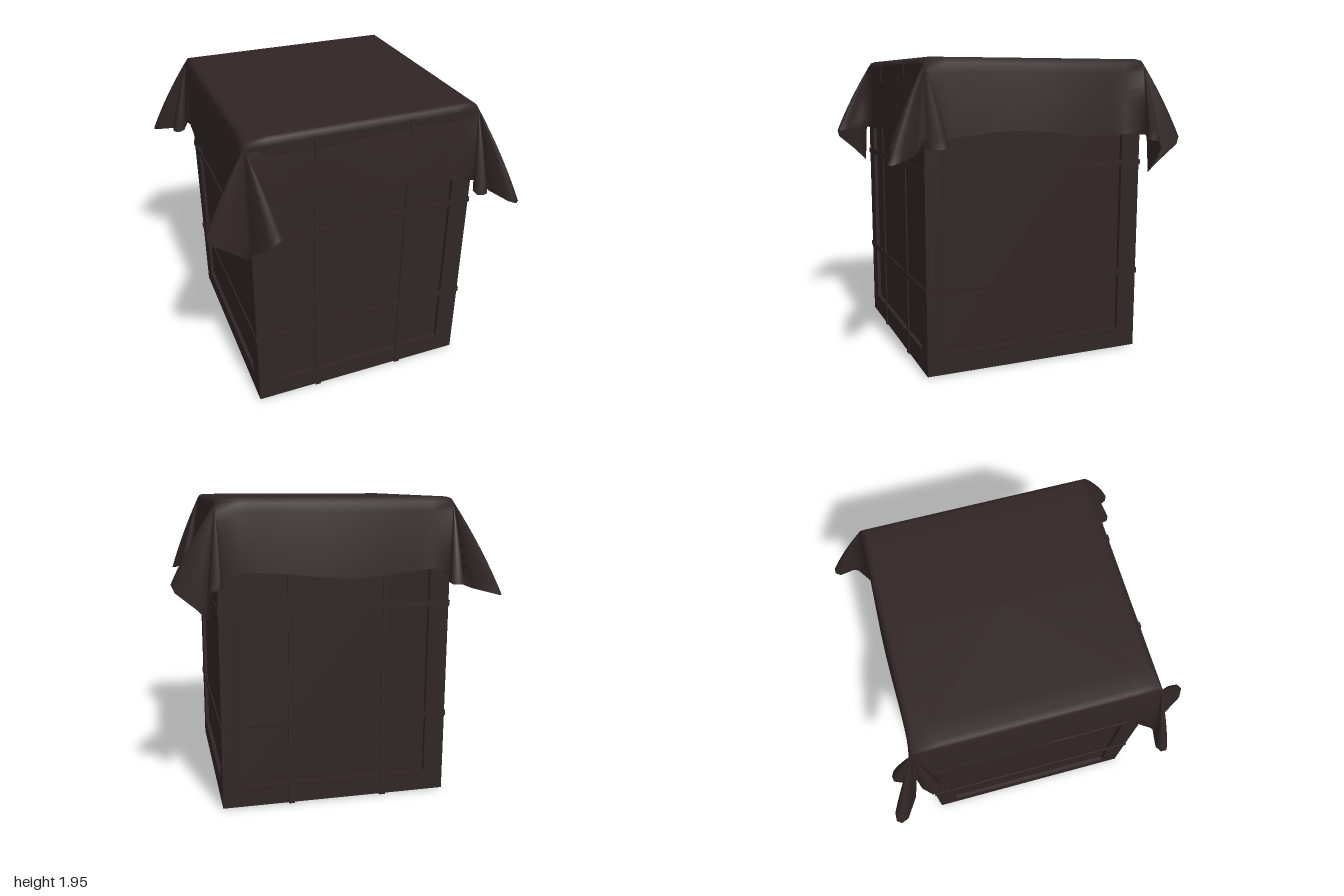
import * as THREE from 'three';
import { mergeVertices } from 'three/addons/utils/BufferGeometryUtils.js';

const { lerp, clamp } = THREE.MathUtils;
const wood = new THREE.MeshStandardMaterial({ color: 0x302525 });
wood.name = 'dark wood';
const cloth = new THREE.MeshStandardMaterial({ color: 0x302525, side: THREE.DoubleSide });
cloth.name = 'dark cloth';

const HALF = 0.737, BASE = 0.006, HEIGHT = 1.9, RECESS = 0.025;
const MID = BASE + HEIGHT / 2;

// Rectangular ring, extruded and centred on the origin
function ring(w, h, holeW, holeH, depth) {
  const rect = (path, a, b) => path.moveTo(-a / 2, -b / 2).lineTo(a / 2, -b / 2)
    .lineTo(a / 2, b / 2).lineTo(-a / 2, b / 2).closePath();
  const shape = rect(new THREE.Shape(), w, h);
  shape.holes.push(rect(new THREE.Path(), holeW, holeH));
  return new THREE.ExtrudeGeometry(shape, { depth, bevelEnabled: false }).translate(0, 0, -depth / 2);
}

function add(group, name, geometry, material) {
  const mesh = new THREE.Mesh(geometry, material);
  mesh.name = name;
  group.add(mesh);
  return mesh;
}

// Crate with a recessed panel on each face
function makeCrate() {
  const g = new THREE.Group();
  g.name = 'crate';
  const inner = 2 * (HALF - RECESS);
  add(g, 'panels', new THREE.BoxGeometry(inner, HEIGHT - 2 * RECESS, inner), wood).position.y = MID;
  const sideFrame = ring(2 * HALF, HEIGHT, 1.21, HEIGHT - 0.27, RECESS);
  sideFrame.translate(0, 0, HALF - RECESS / 2);
  for (let i = 0; i < 4; i++) {
    const frame = add(g, 'sideFrame', sideFrame, wood);
    frame.position.y = MID;
    frame.rotation.y = i * Math.PI / 2;
  }
  const endFrame = ring(2 * HALF, 2 * HALF, 1.21, 1.21, RECESS).rotateX(Math.PI / 2);
  for (const s of [-1, 1]) {
    add(g, 'endFrame', endFrame, wood).position.y = MID + s * (HEIGHT - RECESS) / 2;
  }

  // Straps: two level loops and two upright loops
  const outer = 2 * HALF + 0.012, under = 2 * HALF - 0.004;
  const level = ring(outer, outer, under, under, 0.036).rotateX(Math.PI / 2);
  for (const y of [0.537, 1.275]) add(g, 'levelStrap', level, wood).position.y = y;
  const upright = ring(outer, HEIGHT + 0.012, under, HEIGHT - 0.004, 0.038).rotateY(Math.PI / 2);
  for (const x of [-0.317, 0.293]) add(g, 'uprightStrap', upright, wood).position.set(x, MID, 0);
  g.position.z = 0.01;
  return g;
}

// Cloth corners in order round the crate: fold tips as [x, z, y], and hem height between folds
const corners = [
  { sx: 1, sz: 1, valley: 1.42, tips: [[0.69, 0.94, 1.42], [0.93, 1, 1.35], [0.87, 0.64, 1.42]] },
  { sx: 1, sz: -1, valley: 1.21, tips: [[1, -0.67, 1.44], [0.77, -1, 1.44]] },
  { sx: -1, sz: -1, valley: 1.41, tips: [[-0.7, -0.91, 1.42], [-0.99, -0.94, 1.35], [-0.87, -0.65, 1.42]] },
  { sx: -1, sz: 1, valley: 1.2, tips: [[-1, 0.77, 1.41], [-0.63, 1, 1.44]] },
];

// Wavy hem along one side
function sideHem(i) {
  const a = i * Math.PI / 2, points = [];
  for (let k = 0; k <= 12; k++) {
    const u = lerp(-0.6, 0.6, k / 12);
    const out = 0.78 + 0.008 * Math.sin(5 * u + i);
    points.push({
      x: u * Math.cos(a) + out * Math.sin(a),
      z: out * Math.cos(a) - u * Math.sin(a),
      y: 1.483 + 0.024 * Math.cos(5 * (u - 0.15) + 1.7 * i),
    });
  }
  return points;
}

// Finger-like folds spreading from one corner
function cornerHem({ sx, sz, valley, tips }) {
  const cx = 0.775 * sx, cz = 0.775 * sz, points = [];
  tips.forEach(([tx, tz, ty], i) => {
    const dx = tx - cx, dz = tz - cz, w = 0.045 / Math.hypot(dx, dz);
    const before = i > 0 ? valley : 1.48;
    const after = i < tips.length - 1 ? valley : 1.48;
    const put = (along, side, y) => points.push({
      sx, sz, y, x: cx + dx * along - dz * w * side, z: cz + dz * along + dx * w * side,
    });
    put(0.35, 0.8, lerp(before, ty, 0.4));
    put(0.85, 1, lerp(before, ty, 0.8));
    put(1, 0.4, ty);
    put(1, -0.4, ty);
    put(0.85, -1, lerp(after, ty, 0.8));
    put(0.35, -0.8, lerp(after, ty, 0.4));
    if (i < tips.length - 1) put(0, 0, valley);
  });
  return points;
}

// Draped cloth: flat top, rounded edge, then rows falling to the hem
function makeCloth() {
  const hem = corners.flatMap((corner, i) => [...sideHem(i), ...cornerHem(corner)]);
  const n = hem.length, pos = [0, 1.945, 0], index = [];
  const onEdge = (p, r) => p.sx ? [p.sx * r, p.sz * r] : [clamp(p.x, -r, r), clamp(p.z, -r, r)];
  const edge = [[0.6, 1.945], [0.7, 1.945], [0.727, 1.935], [0.74, 1.91]];
  for (const [r, y] of edge) {
    for (const p of hem) {
      const [x, z] = onEdge(p, r);
      pos.push(x, y, z);
    }
  }
  const falls = 8;
  for (let k = 1; k <= falls; k++) {
    const t = k / falls, out = t + 0.2 * t * (1 - t);
    for (const p of hem) {
      const [x, z] = onEdge(p, 0.74);
      pos.push(lerp(x, p.x, out), lerp(1.91, p.y, t), lerp(z, p.z, out));
    }
  }
  for (let j = 0; j < n; j++) {
    const k = (j + 1) % n;
    index.push(0, 1 + j, 1 + k);
    for (let i = 0; i < edge.length + falls - 1; i++) {
      const a = 1 + i * n + j, b = 1 + i * n + k;
      index.push(a, a + n, b, b, a + n, b + n);
    }
  }
  let geometry = new THREE.BufferGeometry();
  geometry.setAttribute('position', new THREE.Float32BufferAttribute(pos, 3));
  geometry.setIndex(index);
  geometry = mergeVertices(geometry, 1e-4);
  geometry.computeVertexNormals();
  return geometry;
}

export function createModel() {
  const model = new THREE.Group();
  model.name = 'coveredCrate';
  model.add(makeCrate());
  add(model, 'clothCover', makeCloth(), cloth);
  return model;
}
